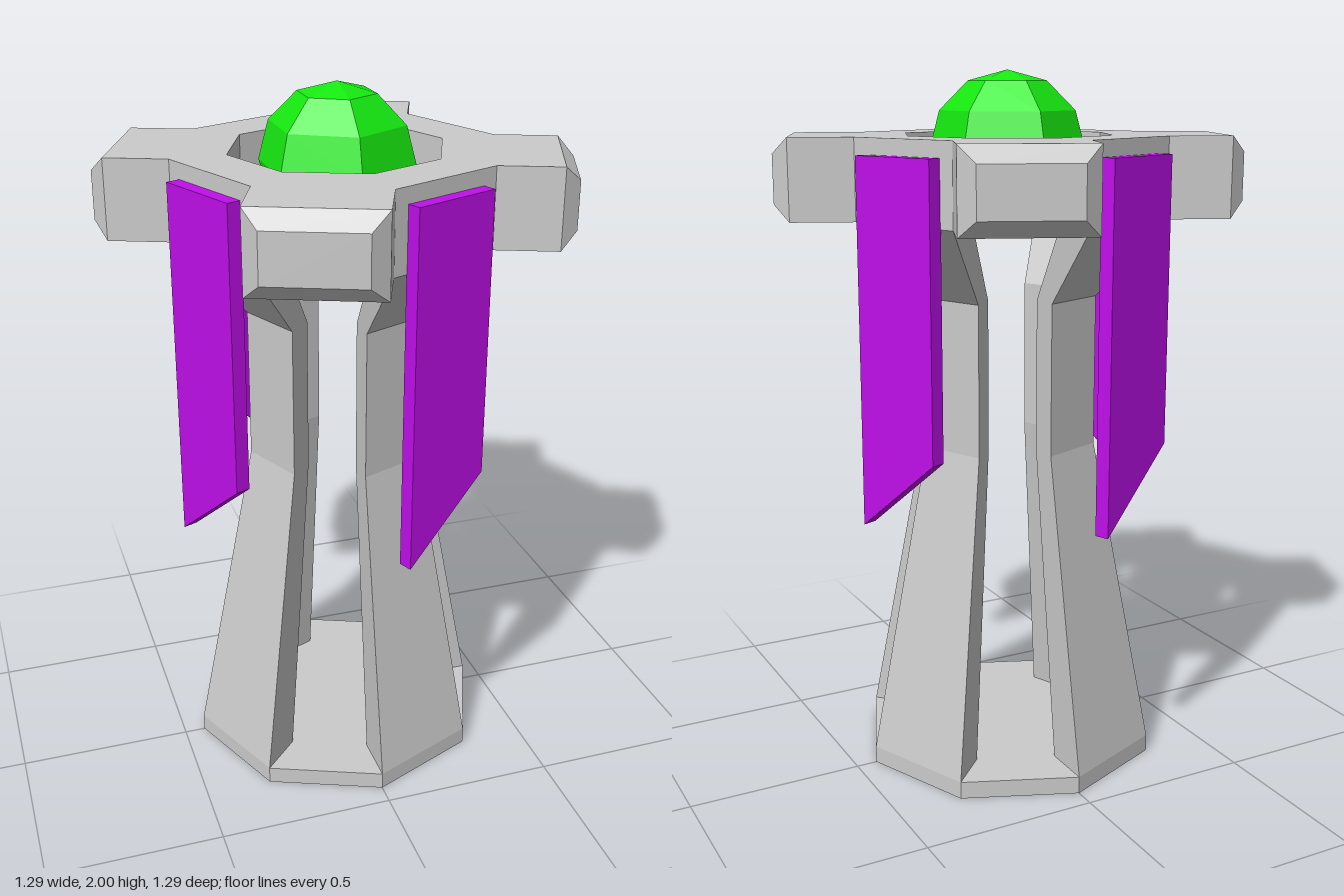
import * as THREE from 'three';

const STEP = Math.PI / 4;
const GREY = new THREE.MeshStandardMaterial({ color: 0xcccccc, flatShading: true });
const GREY_THIN = new THREE.MeshStandardMaterial({ color: 0xcccccc, flatShading: true, side: THREE.DoubleSide });
const PURPLE = new THREE.MeshStandardMaterial({ color: 0xbf0fea, flatShading: true });
const GREEN = new THREE.MeshStandardMaterial({ color: 0x16ea10, flatShading: true });

function part(name, geometry, material) {
  const mesh = new THREE.Mesh(geometry, material);
  mesh.name = name;
  return mesh;
}

// One wall pillar covering an eighth of the tower: swept profile plus two flat sides
function createPillar() {
  const profile = [
    [0.44, 0.05], [0.262, 0.95], [0.262, 1.38], [0.46, 1.6],
    [0.305, 1.6], [0.177, 1.38], [0.177, 0.95], [0.297, 0.05],
  ].map(([r, y]) => new THREE.Vector2(r, y));
  const pillar = new THREE.Group();
  pillar.name = 'pillar';
  pillar.add(part('pillarWalls', new THREE.LatheGeometry([...profile, profile[0]], 1, 0, STEP), GREY));
  for (const angle of [0, STEP]) {
    const side = part('pillarSide', new THREE.ShapeGeometry(new THREE.Shape(profile)), GREY_THIN);
    side.rotation.y = angle - Math.PI / 2;
    pillar.add(side);
  }
  return pillar;
}

// Hanging banner with a slanted lower edge, facing +z
function createBanner() {
  const w = 0.132;
  const shape = new THREE.Shape([
    new THREE.Vector2(-w, 0.765), new THREE.Vector2(w, 0.98),
    new THREE.Vector2(w, 1.78), new THREE.Vector2(-w, 1.78),
  ]);
  const geometry = new THREE.ExtrudeGeometry(shape, { depth: 0.042, bevelEnabled: false });
  return part('banner', geometry.translate(0, 0, 0.423), PURPLE);
}

// Octagonal crown plate with four arms and an octagonal hole
function createCrown() {
  const points = [];
  const polar = (r, a) => new THREE.Vector2(r * Math.sin(a), -r * Math.cos(a));
  const reach = Math.hypot(0.602, 0.176);
  const spread = Math.atan2(0.176, 0.602);
  for (let k = 0; k < 4; k++) {
    const mid = 2 * k * STEP - STEP / 2;
    points.push(
      polar(0.46, mid - STEP / 2), polar(reach, mid - spread),
      polar(reach, mid + spread), polar(0.46, mid + STEP / 2),
    );
  }
  const shape = new THREE.Shape(points);
  const hole = [];
  for (let k = 0; k < 8; k++) hole.push(polar(0.305, -k * STEP));
  shape.holes.push(new THREE.Path(hole));
  const geometry = new THREE.ExtrudeGeometry(shape, { depth: 0.225, bevelEnabled: false });
  return part('crown', geometry.rotateX(-Math.PI / 2).translate(0, 1.6, 0), GREY);
}

// Chamfered block at the end of a crown arm, facing +z
function createArmTip() {
  const geometry = new THREE.BoxGeometry(0.352, 0.225, 0.043);
  const pos = geometry.attributes.position;
  for (let i = 0; i < pos.count; i++) {
    if (pos.getZ(i) > 0) pos.setXY(i, pos.getX(i) * 0.75, pos.getY(i) * 0.6);
  }
  geometry.translate(0, 1.7125, 0.6235);
  return part('armTip', geometry, GREY);
}

export function createModel() {
  const model = new THREE.Group();
  model.name = 'tower';

  model.add(part('base', new THREE.CylinderGeometry(0.44, 0.44, 0.05, 8).translate(0, 0.025, 0), GREY));
  model.add(createCrown());

  // Four-fold repeats around the tower
  for (let k = 0; k < 4; k++) {
    const turn = 2 * k * STEP;
    const pillar = createPillar();
    pillar.rotation.y = turn;
    const banner = createBanner();
    banner.rotation.y = turn + STEP / 2;
    const tip = createArmTip();
    tip.rotation.y = turn - STEP / 2;
    model.add(pillar, banner, tip);
  }

  // Floating crystal orb
  const orb = part('orb', new THREE.SphereGeometry(0.22, 6, 6), GREEN);
  orb.rotation.y = Math.PI / 2;
  orb.position.y = 1.78;
  model.add(orb);
  return model;
}
